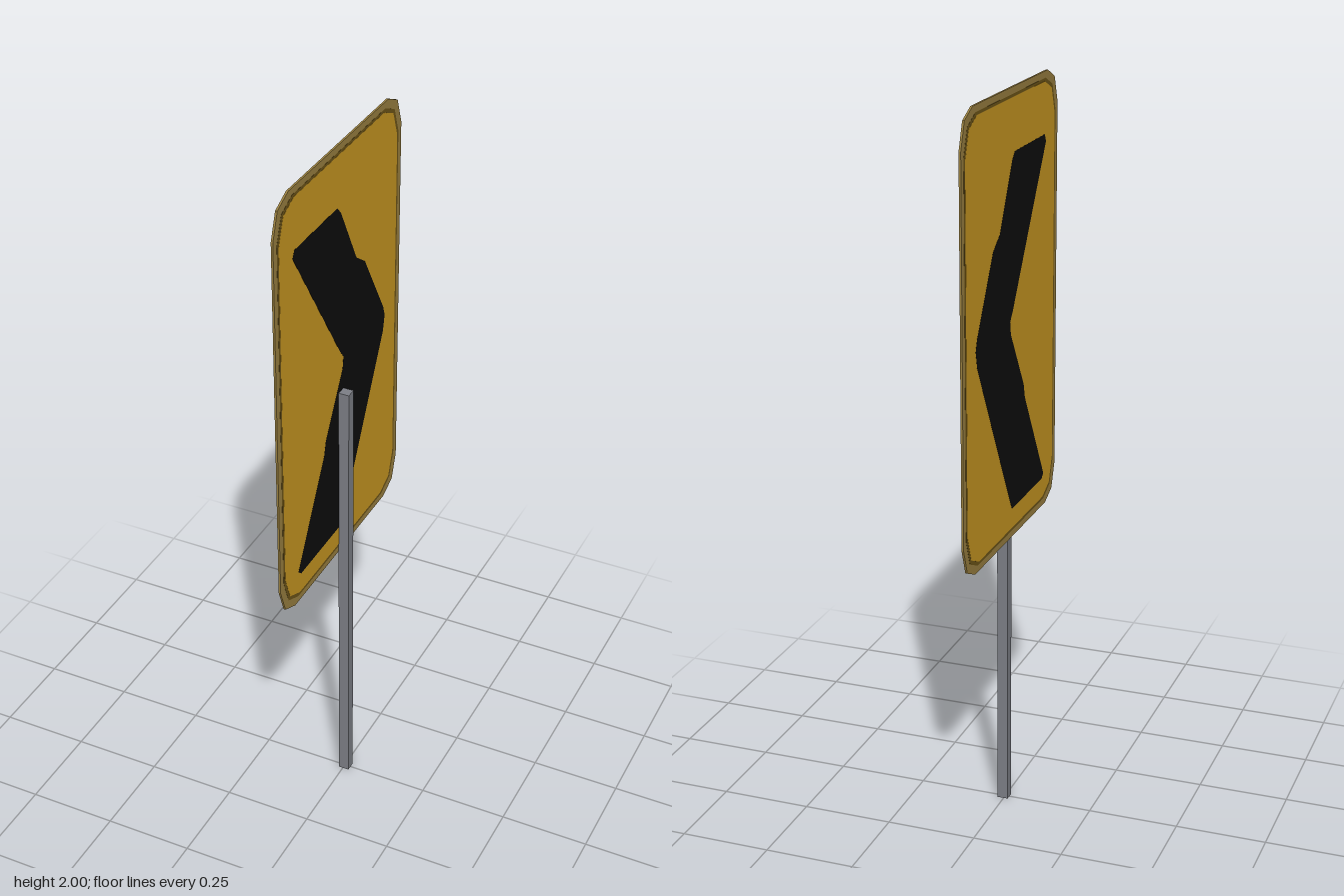
import * as THREE from 'three';

const material = (name, color) => {
  const m = new THREE.MeshStandardMaterial({ color });
  m.name = name;
  return m;
};

// Panel outline with faceted corners, shrunk inwards by an inset
function panelOutline(inset) {
  const w = 0.355 - inset, h = 0.605 - inset, cy = 1.395;
  const corner = [[w, h - 0.095], [w - 0.025, h - 0.025], [w - 0.08, h]];
  const mirrored = corner.map(([z, y]) => [-z, y]).reverse();
  const top = [...corner, ...mirrored];
  return [...top, ...top.map(([z, y]) => [-z, -y])].map(([z, y]) => [z, y + cy]);
}

// Upright layer from a (z, y) outline, centred on the panel's plane
function layer(name, outline, thickness, mat) {
  const shape = new THREE.Shape(outline.map(([z, y]) => new THREE.Vector2(z, y)));
  const geo = new THREE.ExtrudeGeometry(shape, { depth: thickness, bevelEnabled: false });
  geo.translate(0, 0, -thickness / 2).rotateY(-Math.PI / 2).translate(-0.015, 0, 0);
  const mesh = new THREE.Mesh(geo, mat);
  mesh.name = name;
  return mesh;
}

export function createModel() {
  const rim = material('tan rim', 0x9a8040);
  const line = material('dark border line', 0x6e5518);
  const yellow = material('sign yellow', 0xc99822);
  const black = material('arrow black', 0x0d0d0d);
  const grey = material('post grey', 0x7d7f86);

  const model = new THREE.Group();
  model.name = 'chevronRoadSign';

  // Panel: rim, border line and yellow face, each a little prouder
  const panel = new THREE.Group();
  panel.name = 'signPanel';
  panel.add(layer('panelRim', panelOutline(0), 0.0056, rim));
  panel.add(layer('borderLine', panelOutline(0.018), 0.0064, line));
  panel.add(layer('yellowFace', panelOutline(0.026), 0.0072, yellow));

  // Chevron arrow, visible on both faces
  const chevron = [
    [0.26, 1.815], [0.25, 1.835], [0.02, 1.835], [0, 1.815], [-0.09, 1.645],
    [-0.14, 1.61], [-0.255, 1.415], [-0.265, 1.385], [-0.255, 1.34],
    [-0.03, 0.925], [0, 0.872], [0.24, 0.872], [0.255, 0.885],
    [0.1, 1.155], [0.09, 1.195], [-0.01, 1.36], [-0.015, 1.395], [0.005, 1.42],
  ].reverse();
  panel.add(layer('chevronArrow', chevron, 0.008, black));
  model.add(panel);

  // Square post fixed behind the panel
  const post = new THREE.Mesh(new THREE.BoxGeometry(0.03, 1.3, 0.029), grey);
  post.name = 'post';
  post.position.set(0.003, 0.65, 0);
  model.add(post);

  return model;
}
